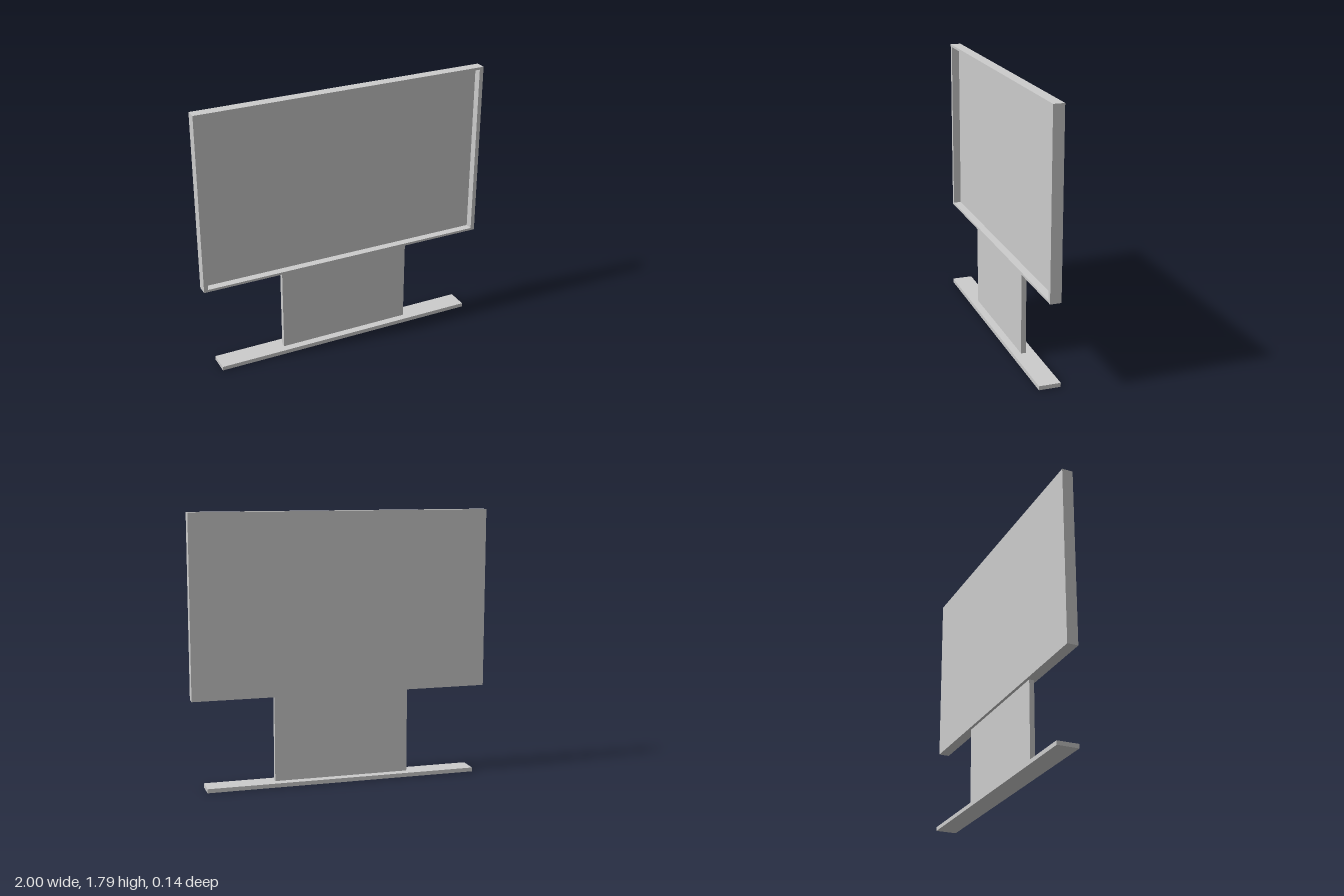
import * as THREE from 'three';

const material = new THREE.MeshStandardMaterial({ color: 0xcccccc });

// Box given by its lower and upper limits on each axis
function box(name, [x0, x1], [y0, y1], [z0, z1]) {
  const mesh = new THREE.Mesh(new THREE.BoxGeometry(x1 - x0, y1 - y0, z1 - z0), material);
  mesh.position.set((x0 + x1) / 2, (y0 + y1) / 2, (z0 + z1) / 2);
  mesh.name = name;
  return mesh;
}

// Counter-clockwise rectangle corners
function rectangle(x, y0, y1) {
  return [[-x, y0], [x, y0], [x, y1], [-x, y1]].map(([a, b]) => new THREE.Vector2(a, b));
}

export function createModel() {
  const model = new THREE.Group();
  model.name = 'displayOnStand';

  const bottom = 0.594, top = 1.79;
  const back = -0.032, panel = -0.012, front = 0.04;

  // Stand: long flat foot and wide thin column
  model.add(box('foot', [-0.916, 0.916], [0, 0.027], [-0.071, 0.071]));
  model.add(box('column', [-0.457, 0.457], [0.027, bottom], [-0.012, 0.021]));

  // Display: closed back panel with a thin raised rim around the recessed screen
  const display = new THREE.Group();
  display.name = 'display';
  display.add(box('screenPanel', [-1, 1], [bottom, top], [back, panel]));

  const outline = new THREE.Shape(rectangle(1, bottom, top));
  outline.holes.push(new THREE.Path(rectangle(0.972, bottom + 0.016, top - 0.016).reverse()));
  const rim = new THREE.Mesh(
    new THREE.ExtrudeGeometry(outline, { depth: front - panel, bevelEnabled: false }), material);
  rim.position.z = panel;
  rim.name = 'screenRim';
  display.add(rim);

  model.add(display);
  return model;
}
